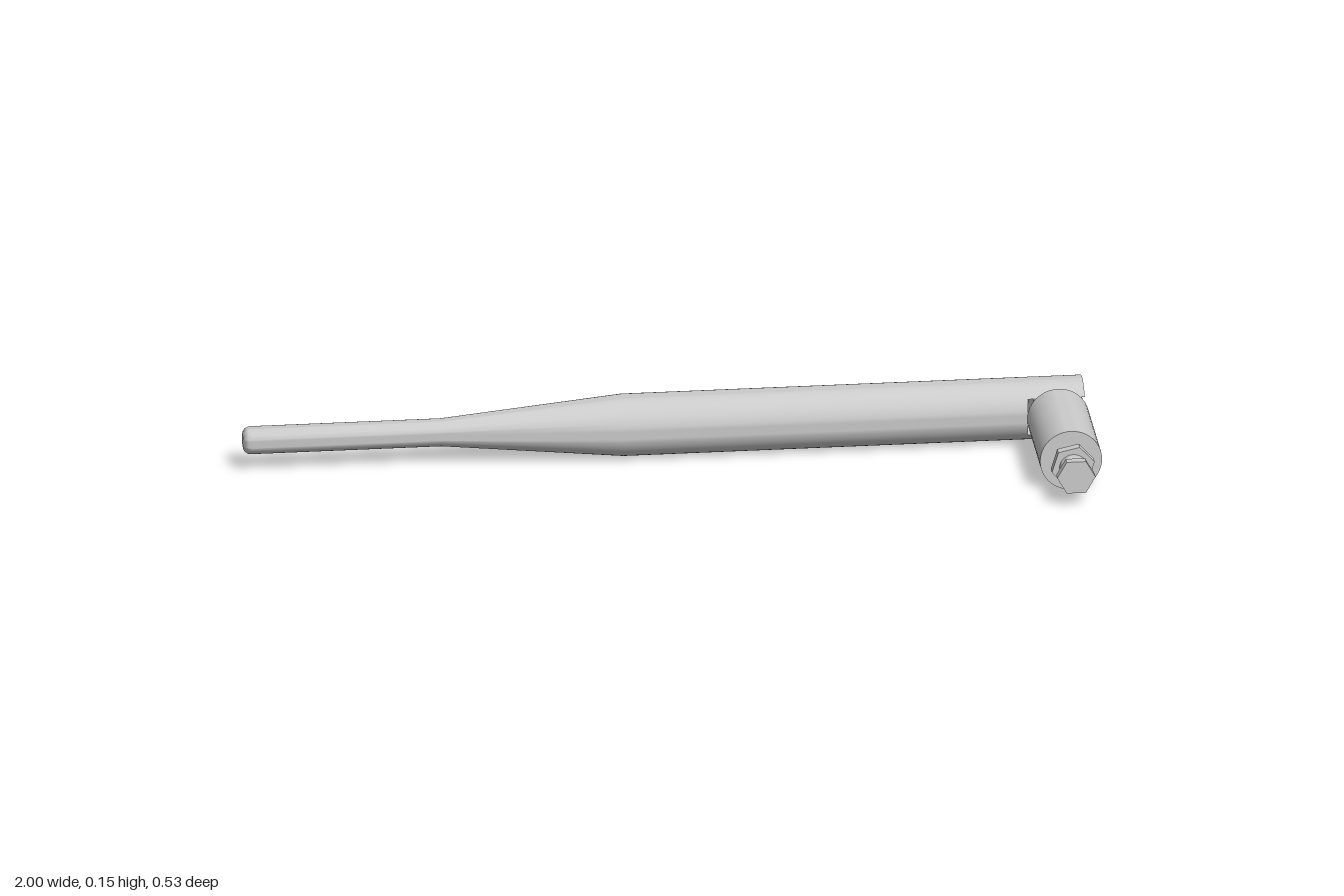
import * as THREE from 'three';
import { toCreasedNormals } from 'three/addons/utils/BufferGeometryUtils.js';

const R = 0.0735;      // main radius of rod and barrel
const SLOT = 0.045;    // half height of the fork slot
const ROD_Z = -0.191;  // rod axis
const HINGE_X = 0.9265; // barrel axis

export function createModel() {
  const model = new THREE.Group();
  model.name = 'hingedAntenna';
  const material = new THREE.MeshStandardMaterial({ color: 0xcccccc });

  function add(name, geometry, x, y, z, parent = model) {
    const mesh = new THREE.Mesh(geometry, material);
    mesh.name = name;
    mesh.position.set(x, y, z);
    parent.add(mesh);
    return mesh;
  }

  // Solid of revolution from [radius, height] pairs
  function turned(profile) {
    const points = profile.map(([r, h]) => new THREE.Vector2(r, h));
    return toCreasedNormals(new THREE.LatheGeometry(points, 48), 0.6);
  }

  // Tapered rod along x with a rounded tip
  const rodProfile = [[0, -1]];
  for (let i = 0; i <= 4; i++) {
    const a = (i / 4) * Math.PI / 2;
    rodProfile.push([0.015 + 0.018 * Math.sin(a), -0.982 - 0.018 * Math.cos(a)]);
  }
  rodProfile.push([0.033, -0.53], [R, -0.1], [R, 0.855], [0, 0.855]);
  add('rod', turned(rodProfile).rotateZ(-Math.PI / 2), 0, R, ROD_Z);

  // Two fork prongs, circular segments above and below the slot
  const start = Math.asin(SLOT / R);
  const segment = new THREE.Shape();
  segment.absarc(0, 0, R, start, Math.PI - start, false);
  segment.closePath();
  for (const [name, turn] of [['upperProng', 0], ['lowerProng', Math.PI]]) {
    const prong = toCreasedNormals(new THREE.ExtrudeGeometry(segment, {
      depth: 0.137, bevelEnabled: false, curveSegments: 20,
    }), 0.6).rotateY(Math.PI / 2).rotateX(turn);
    add(name, prong, 0.854, R, ROD_Z);
  }

  // Hinge arm at right angles to the rod, pointing to the front
  const arm = new THREE.Group();
  arm.name = 'hingeArm';
  arm.position.set(HINGE_X, R, 0);
  model.add(arm);

  add('tongue', new THREE.BoxGeometry(0.116, SLOT * 2 - 0.001, 0.13), 0, 0, -0.18, arm);

  const barrel = turned([[0, -0.12], [R, -0.12], [R, 0.152], [0, 0.152]]);
  add('barrel', barrel.rotateX(Math.PI / 2), 0, 0, 0, arm);

  const neck = turned([[0, 0.15], [0.033, 0.15], [0.033, 0.25], [0, 0.25]]);
  add('connectorNeck', neck.rotateX(Math.PI / 2), 0, 0, 0, arm);

  // Hexagonal nuts: circumradius, thickness, middle, turn
  function hexNut(name, radius, depth, z, angle) {
    const hex = new THREE.CylinderGeometry(radius, radius, depth, 6);
    hex.rotateX(Math.PI / 2).rotateZ(Math.PI / 6 + angle);
    add(name, toCreasedNormals(hex, 0.5), 0, 0.001, z, arm);
  }
  hexNut('lockNut', 0.052, 0.024, 0.187, 0.224);
  hexNut('endNut', 0.0455, 0.022, 0.254, 0);

  return model;
}
